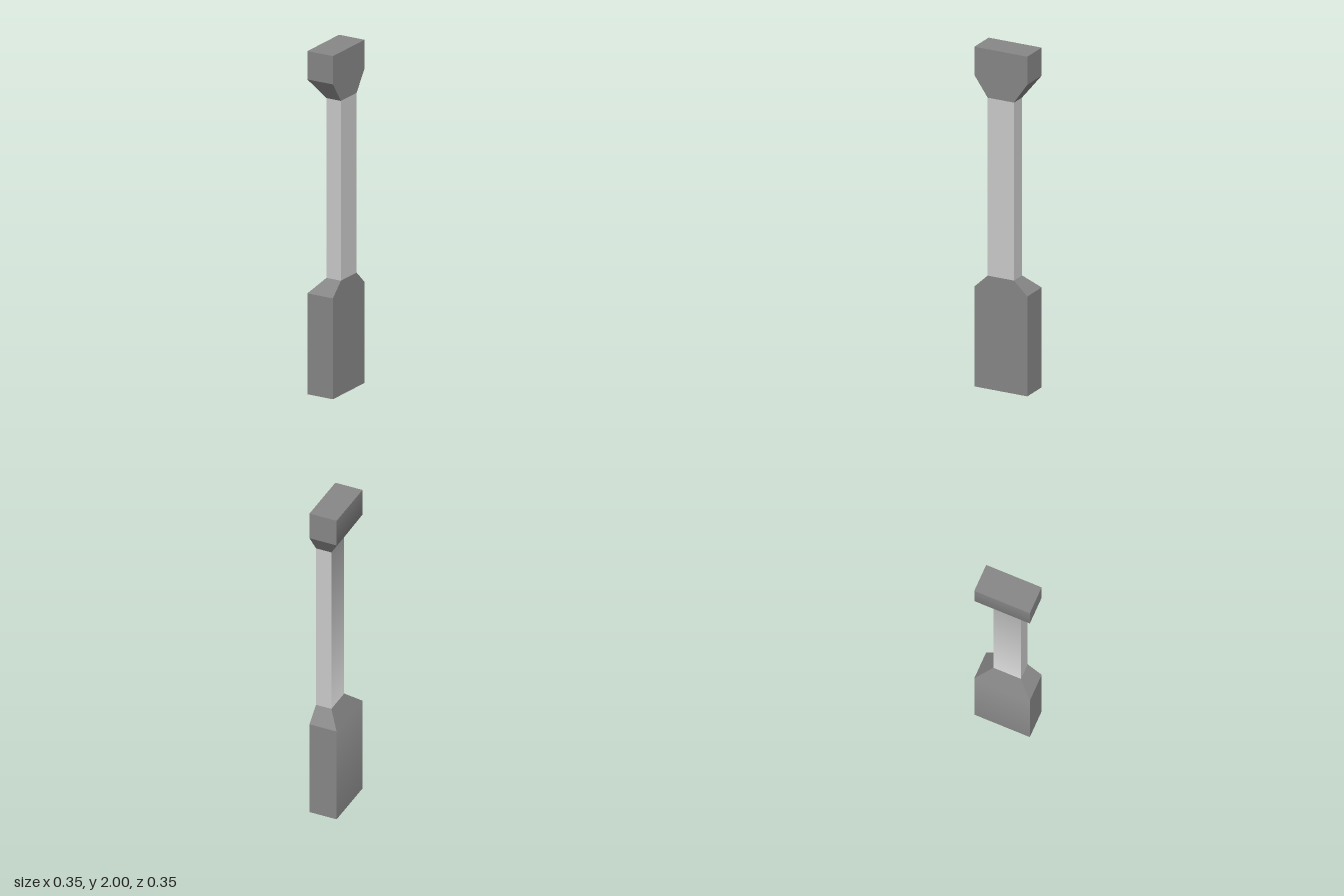
import * as THREE from 'three';

// Levels from bottom to top: height, half length, back depth
const LEVELS = [
  { y: 0, u: 0.167, back: -0.083 },
  { y: 0.588, u: 0.167, back: -0.083 },
  { y: 0.667, u: 0.083, back: -0.011 },
  { y: 1.715, u: 0.083, back: -0.011 },
  { y: 1.835, u: 0.167, back: -0.083 },
  { y: 2, u: 0.167, back: -0.083 },
];
const FRONT = 0.083;

// Rectangular cross-section, counter-clockwise seen from above
const ring = ({ y, u, back }) => [[-u, FRONT], [u, FRONT], [u, back], [-u, back]]
  .map(([x, z]) => new THREE.Vector3(x, y, z));

// Back faces are shaded smoothly from level to level
const segmentNormal = (i) => {
  const a = LEVELS[i], b = LEVELS[i + 1];
  return new THREE.Vector3(0, b.back - a.back, a.y - b.y).normalize();
};
const backNormal = (i) => {
  const n = new THREE.Vector3();
  if (i > 0) n.add(segmentNormal(i - 1));
  if (i < LEVELS.length - 1) n.add(segmentNormal(i));
  return n.normalize();
};

// Skin of the levels first..last, with optional end caps
function section(name, first, last, color) {
  const positions = [], normals = [];
  const quad = (a, b, c, d, low, high) => {
    const flat = b.clone().sub(a).cross(d.clone().sub(a)).normalize();
    const lo = low ?? flat, hi = high ?? flat;
    for (const p of [a, b, c, a, c, d]) positions.push(...p.toArray());
    for (const n of [lo, lo, hi, lo, hi, hi]) normals.push(...n.toArray());
  };
  for (let i = first; i < last; i++) {
    const low = ring(LEVELS[i]), high = ring(LEVELS[i + 1]);
    for (let s = 0; s < 4; s++) {
      const t = (s + 1) % 4, smooth = s === 2;
      quad(low[s], low[t], high[t], high[s],
        smooth ? backNormal(i) : undefined, smooth ? backNormal(i + 1) : undefined);
    }
  }
  if (first === 0) quad(...ring(LEVELS[0]).reverse());
  if (last === LEVELS.length - 1) quad(...ring(LEVELS[last]));

  const geometry = new THREE.BufferGeometry();
  geometry.setAttribute('position', new THREE.Float32BufferAttribute(positions, 3));
  geometry.setAttribute('normal', new THREE.Float32BufferAttribute(normals, 3));
  const mesh = new THREE.Mesh(geometry, new THREE.MeshStandardMaterial({ color }));
  mesh.name = name;
  return mesh;
}

export function createModel() {
  const group = new THREE.Group();
  group.name = 'pillar';
  const pillar = new THREE.Group();
  pillar.name = 'pillarBody';
  pillar.add(
    section('base', 0, 2, 0x878787),
    section('shaft', 2, 3, 0xcccccc),
    section('capital', 3, 5, 0x878787),
  );
  // The pillar stands diagonally
  pillar.rotation.y = Math.PI / 4;
  group.add(pillar);
  return group;
}
